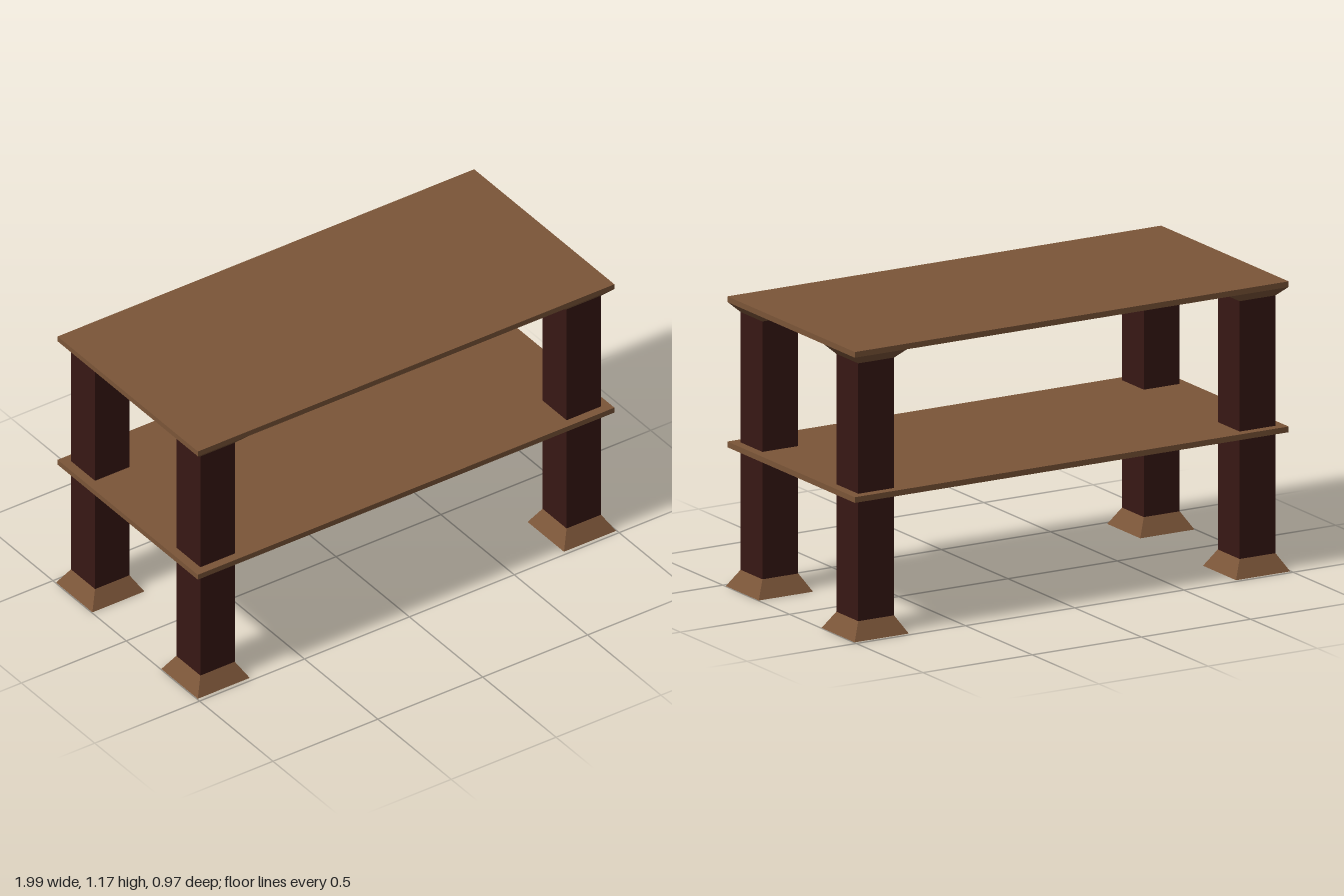
import * as THREE from 'three';

const wood = new THREE.MeshStandardMaterial({ color: 0x7b5538, flatShading: true });
const darkWood = new THREE.MeshStandardMaterial({ color: 0x381814, flatShading: true });

const LEG_X = 0.873, LEG_Z = 0.359; // leg centres
const LEG = 0.082, FOOT = 0.124, CAP = 0.119; // half widths

function add(parent, name, geometry, material, y) {
  const mesh = new THREE.Mesh(geometry, material);
  mesh.name = name;
  mesh.position.y = y;
  parent.add(mesh);
}

// Square frustum given by half widths, with sides parallel to the axes
function frustum(top, bottom, height) {
  const r = Math.SQRT2;
  return new THREE.CylinderGeometry(top * r, bottom * r, height, 4).rotateY(Math.PI / 4);
}

export function createModel() {
  const table = new THREE.Group();
  table.name = 'table';

  // Top and lower shelf
  const board = new THREE.BoxGeometry(1.986, 0.023, 0.956);
  add(table, 'tableTop', board, wood, 1.1635);
  add(table, 'shelf', board, wood, 0.575);

  // Four legs, each with a flared foot and a flared capital
  const foot = frustum(LEG, FOOT, 0.07);
  const post = new THREE.BoxGeometry(LEG * 2, 1.045, LEG * 2);
  const capital = frustum(CAP, LEG, 0.037);
  for (const sx of [-1, 1]) {
    for (const sz of [-1, 1]) {
      const leg = new THREE.Group();
      leg.name = (sz > 0 ? 'front' : 'back') + (sx > 0 ? 'Left' : 'Right') + 'Leg';
      leg.position.set(sx * LEG_X, 0, sz * LEG_Z);
      add(leg, 'foot', foot, wood, 0.035);
      add(leg, 'post', post, darkWood, 0.5925);
      add(leg, 'capital', capital, wood, 1.1335);
      table.add(leg);
    }
  }
  return table;
}
